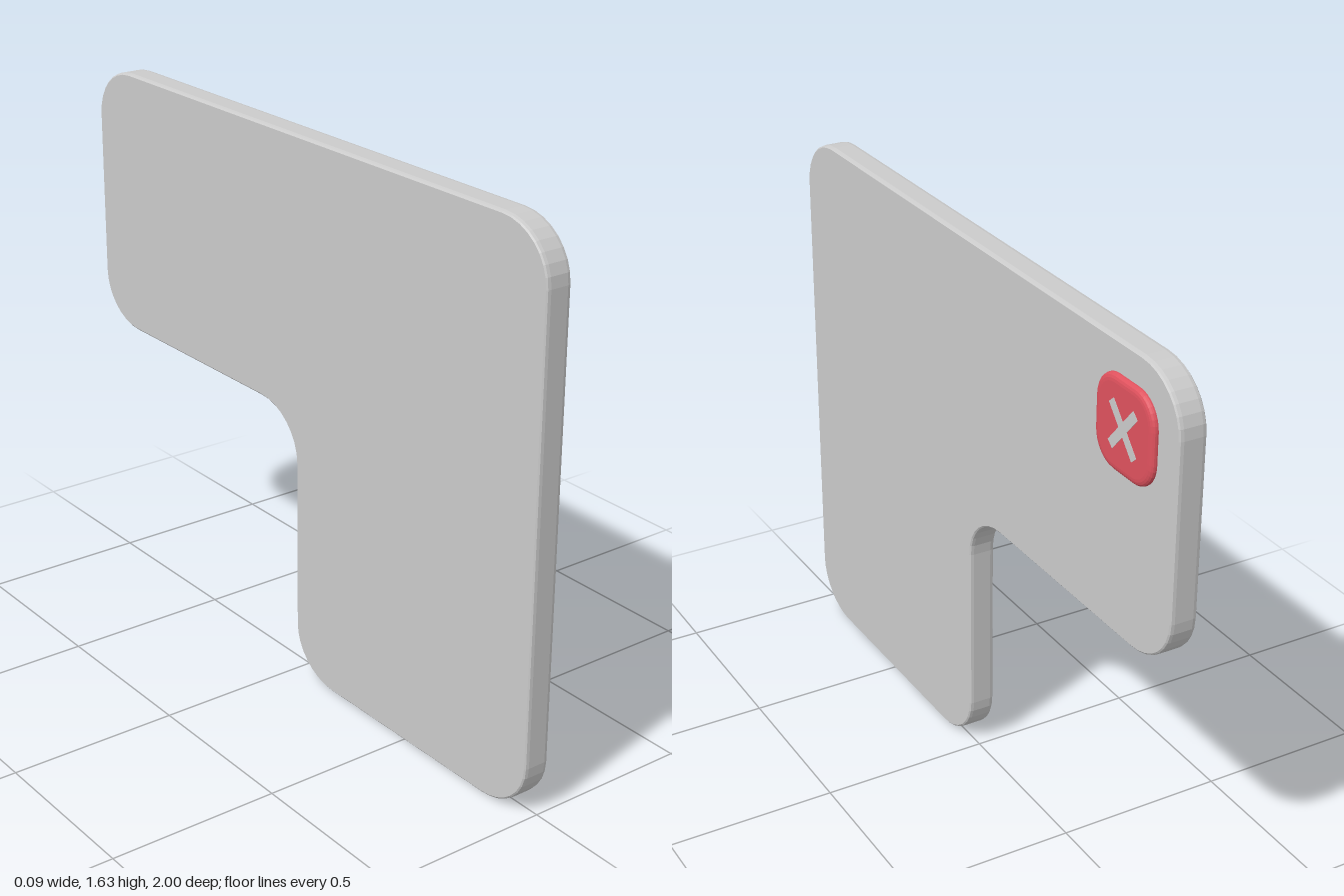
import * as THREE from 'three';

const K = 0.5523; // cubic approximation of a quarter ellipse

// Closed outline with every corner rounded by an ellipse (rx along u, ry along y)
function roundedOutline(points, rx, ry) {
  const shape = new THREE.Shape();
  const n = points.length;
  const step = (p, q, f) => {
    const du = Math.sign(q[0] - p[0]), dy = Math.sign(q[1] - p[1]);
    return [p[0] + du * rx * f, p[1] + dy * ry * f];
  };
  points.forEach((p, i) => {
    const prev = points[(i + n - 1) % n], next = points[(i + 1) % n];
    const a = step(p, prev, 1), b = step(p, next, 1);
    if (i === 0) shape.moveTo(...a); else shape.lineTo(...a);
    shape.bezierCurveTo(...step(p, prev, 1 - K), ...step(p, next, 1 - K), ...b);
  });
  shape.closePath();
  return shape;
}

// Extrude along +x from x0 to x1; the outline's u axis becomes -z
function plate(name, shape, x0, x1, bevel, color, bothSides = true) {
  const geo = new THREE.ExtrudeGeometry(shape, {
    depth: x1 - x0 - bevel.t * (bothSides ? 2 : 1),
    bevelEnabled: bevel.t > 0,
    bevelThickness: bevel.t,
    bevelSize: bevel.s,
    bevelOffset: -bevel.s,
    bevelSegments: bevel.n,
    curveSegments: 8,
  });
  geo.rotateY(Math.PI / 2);
  geo.translate(x0 + (bothSides ? bevel.t : 0), 0, 0);
  const mesh = new THREE.Mesh(geo, new THREE.MeshStandardMaterial({ color }));
  mesh.name = name;
  return mesh;
}

export function createModel() {
  const group = new THREE.Group();
  group.name = 'lShapedPanel';

  // L-shaped panel
  const panel = roundedOutline(
    [[-1, 0], [0, 0], [0, 0.82], [1, 0.82], [1, 1.63], [-1, 1.63]], 0.17, 0.155);
  group.add(plate('panel', panel, -0.048, 0.03, { t: 0.012, s: 0.006, n: 2 }, 0xcccccc));

  // Red button with softened rim, its back sunk into the panel
  const cu = 0.783, cy = 1.418, h = 0.129;
  const button = roundedOutline(
    [[cu - h, cy - h], [cu + h, cy - h], [cu + h, cy + h], [cu - h, cy + h]], 0.085, 0.085);
  group.add(plate('button', button, 0.01, 0.046, { t: 0.012, s: 0.02, n: 4 }, 0xe0525e));

  // Diagonal cross set into the button
  const cross = new THREE.Shape();
  const len = 0.08, w = 0.0135, tilt = 0.85;
  const corners = [[len, -w], [len, w], [w, w]];
  for (let i = 0; i < 4; i++) {
    // alternate the angle so the arms stand slightly steeper than 45 degrees
    const ang = (i % 2 ? Math.PI - tilt : tilt) + (i > 1 ? Math.PI : 0);
    const c = Math.cos(ang), s = Math.sin(ang);
    corners.forEach(([a, b], j) => {
      // inner corner lies halfway between two neighbouring arms
      const half = (i % 2 ? tilt : Math.PI / 2 - tilt);
      const along = j === 2 ? w / Math.tan(half) : a;
      const u = cu + along * c - b * s, y = cy + along * s + b * c;
      if (i === 0 && j === 0) cross.moveTo(u, y); else cross.lineTo(u, y);
    });
  }
  cross.closePath();
  group.add(plate('cross', cross, 0.02, 0.047, { t: 0, s: 0, n: 0 }, 0xcccccc));

  return group;
}
